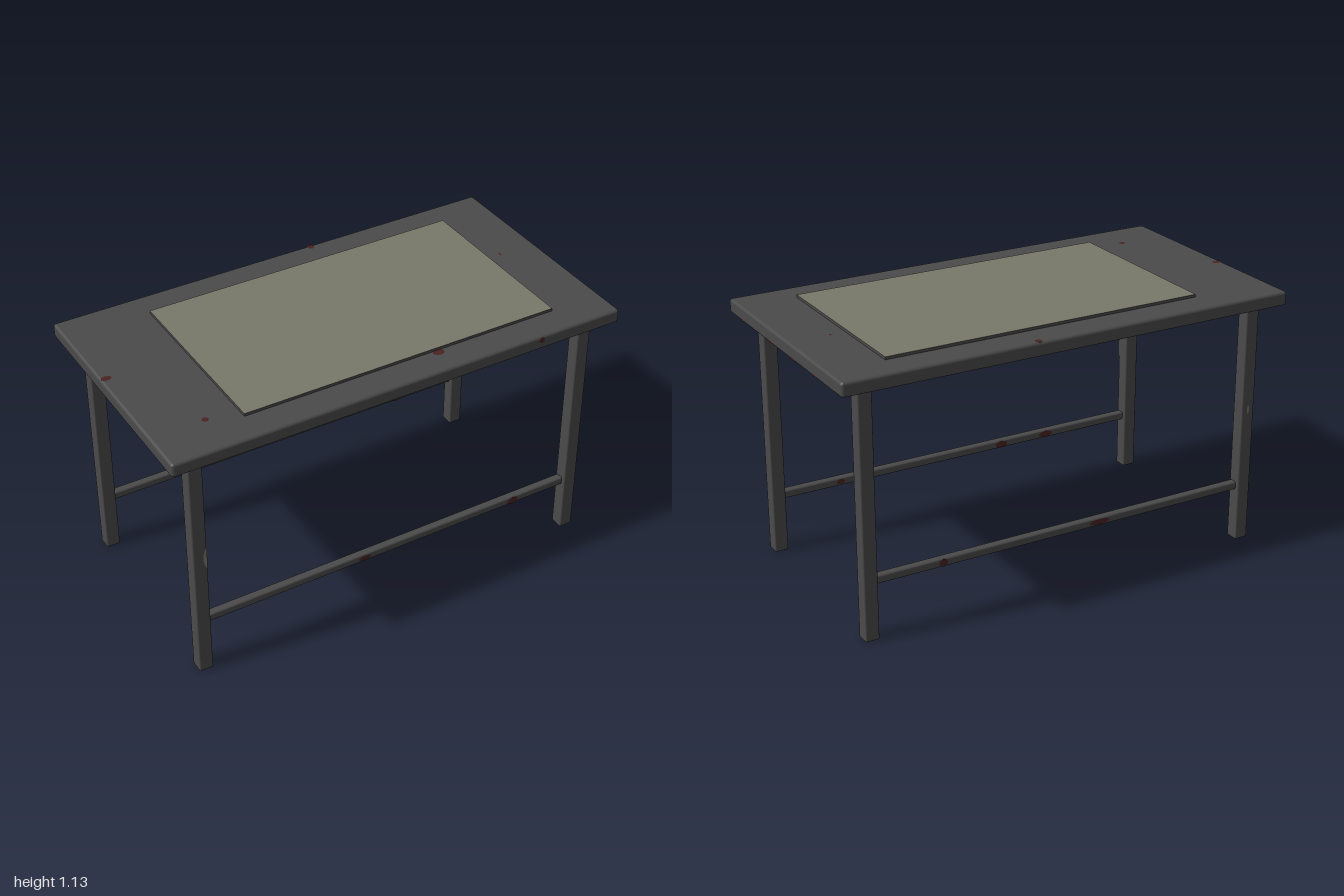
import * as THREE from 'three';
import { RoundedBoxGeometry } from 'three/addons/geometries/RoundedBoxGeometry.js';

const steel = new THREE.MeshStandardMaterial({ color: 0x4a4a4a, name: 'darkSteel' });
const olive = new THREE.MeshStandardMaterial({ color: 0x78786a, name: 'paleOlive' });
const rust = new THREE.MeshStandardMaterial({ color: 0x4a2222, name: 'rust' });

export function createModel() {
  const model = new THREE.Group();
  model.name = 'workTable';

  const add = (name, geometry, material, x, y, z) => {
    const mesh = new THREE.Mesh(geometry, material);
    mesh.name = name;
    mesh.position.set(x, y, z);
    model.add(mesh);
    return mesh;
  };

  // Table top
  add('tableTop', new RoundedBoxGeometry(2, 0.06, 1.06, 2, 0.012), steel, 0, 1.09, 0);

  // Thin mat: olive upper face, dark sides
  add('mat', new THREE.BoxGeometry(1.395, 0.014, 0.8),
    [steel, steel, olive, steel, steel, steel], 0.0625, 1.125, 0);

  // Legs and long rails
  const legGeometry = new RoundedBoxGeometry(0.06, 1.065, 0.06, 2, 0.006);
  const railGeometry = new RoundedBoxGeometry(1.7, 0.036, 0.036, 2, 0.008);
  for (const sz of [1, -1]) {
    const end = sz > 0 ? 'front' : 'back';
    for (const sx of [1, -1]) {
      add(end + (sx > 0 ? 'LeftLeg' : 'RightLeg'), legGeometry, steel, sx * 0.88, 0.5325, sz * 0.438);
    }
    add(end + 'Rail', railGeometry, steel, 0, 0.252, sz * 0.438);
  }

  // Flat worn patches; each lies on a face turned to the given direction
  const turns = {
    up: [-Math.PI / 2, 0], down: [Math.PI / 2, 0], front: [0, 0],
    back: [0, Math.PI], left: [0, Math.PI / 2], right: [0, -Math.PI / 2],
  };
  const patch = (name, facing, x, y, z, w, h, material = rust) => {
    const mesh = add(name, new THREE.CircleGeometry(0.5, 8), material, x, y, z);
    mesh.rotation.set(turns[facing][0], turns[facing][1], 0);
    mesh.scale.set(w, h, 1);
  };

  // Rust on the top
  for (const [x, z, w, h] of [[0.17, -0.515, 0.03, 0.035], [-0.975, -0.078, 0.045, 0.03],
    [-0.77, 0.345, 0.028, 0.028], [0.21, 0.415, 0.05, 0.04], [0.825, -0.06, 0.01, 0.02]]) {
    patch('topRust', 'up', x, 1.1212, z, w, h);
  }
  patch('edgeRust', 'front', 0.62, 1.103, 0.5312, 0.025, 0.028);
  patch('undersideRust', 'down', -0.71, 1.0588, -0.13, 0.05, 0.05);
  for (const [z, w] of [[0.4, 0.04], [0.285, 0.02], [0.12, 0.06], [-0.09, 0.07], [-0.285, 0.03]]) {
    patch('edgeRust', 'left', 1.0005, 1.068, z, w, 0.009);
  }

  // Rust on the rails
  const railRust = [
    [1, 'front', -0.14, 0.06, 0.022], [1, 'front', 0.59, 0.055, 0.034],
    [1, 'back', 0.59, 0.04, 0.024], [1, 'back', -0.2, 0.06, 0.032], [1, 'back', -0.43, 0.07, 0.03],
    [-1, 'front', -0.23, 0.05, 0.02], [-1, 'front', 0.56, 0.06, 0.034],
    [-1, 'back', 0.56, 0.04, 0.034], [-1, 'back', -0.16, 0.1, 0.024],
  ];
  for (const [side, facing, x, w, h] of railRust) {
    const out = facing === 'front' ? 0.0188 : -0.0188;
    patch('railRust', facing, x, 0.252, side * 0.438 + out, w, h);
  }

  // Bare scuffs on the right legs
  const scuff = new THREE.Shape();
  scuff.moveTo(0, -0.055);
  scuff.lineTo(0, 0.055);
  scuff.quadraticCurveTo(-0.034, 0, 0, -0.055);
  add('legScuff', new THREE.ShapeGeometry(scuff), olive, -0.851, 0.575, 0.469);
  patch('legScuff', 'left', -0.8488, 0.575, 0.462, 0.012, 0.09, olive);
  patch('legScuff', 'back', -0.88, 0.6, -0.469, 0.01, 0.04, olive);

  return model;
}
